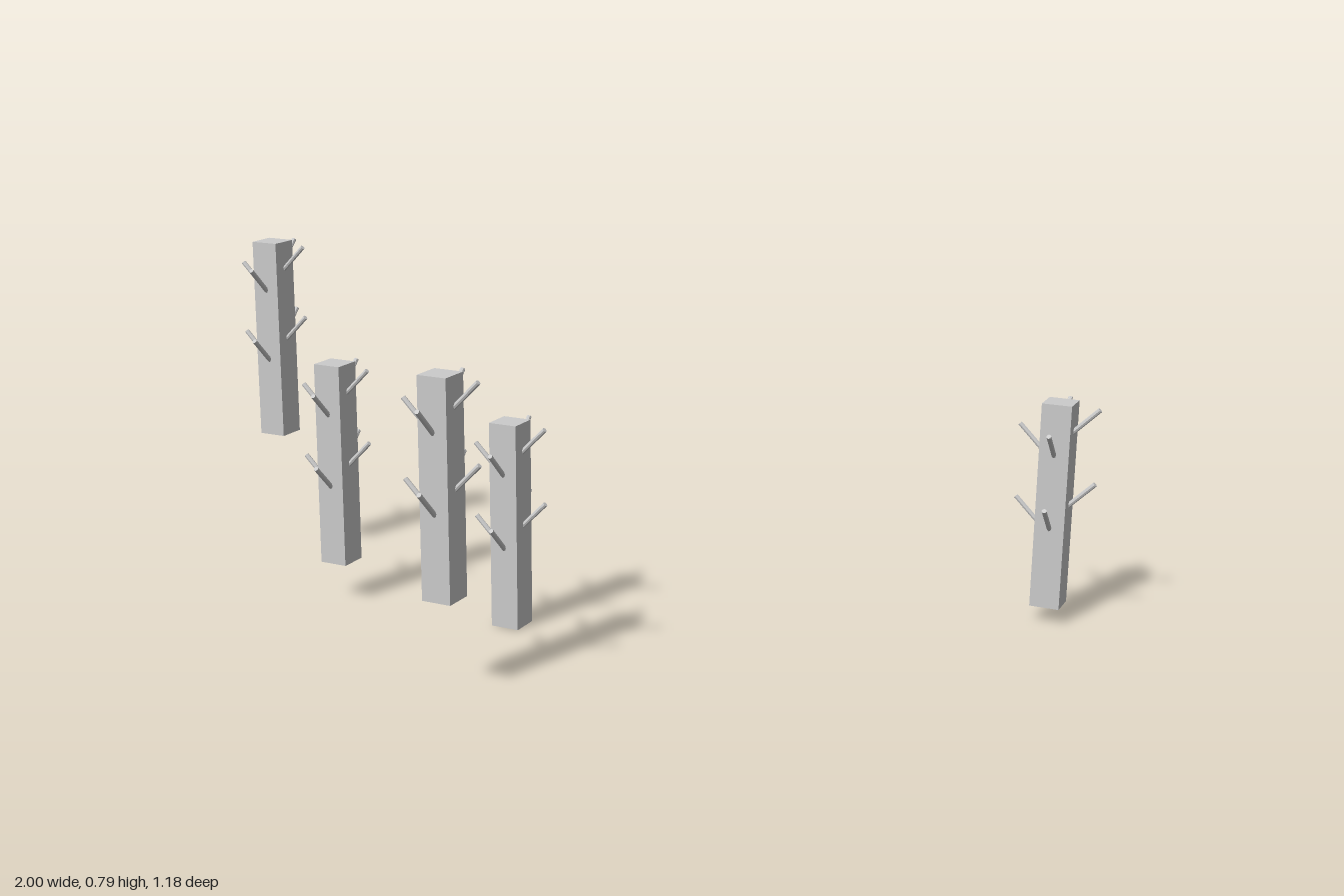
import * as THREE from 'three';

const WIDTH = 0.067, HEIGHT = 0.473;
const REACH = 0.088; // horizontal reach of a peg tip from the post axis

export function createModel() {
  const group = new THREE.Group();
  const material = new THREE.MeshStandardMaterial({ color: 0xcccccc, flatShading: true });
  const postGeometry = new THREE.BoxGeometry(WIDTH, HEIGHT, WIDTH).translate(0, HEIGHT / 2, 0);

  // Peg rising outward at 45 degrees along +x, starting inside the post
  const inner = 0.02;
  const pegGeometry = new THREE.CylinderGeometry(0.0055, 0.0055, (REACH - inner) * Math.SQRT2, 8)
    .rotateZ(-Math.PI / 4)
    .translate((REACH + inner) / 2, (inner - REACH) / 2, 0);

  // Tip heights: +x and -z pegs sit higher than -x and +z pegs
  const pegs = [
    { angle: 0, tip: 0.464 },
    { angle: Math.PI / 2, tip: 0.464 },
    { angle: Math.PI, tip: 0.414 },
    { angle: -Math.PI / 2, tip: 0.414 },
  ];

  function makePost(x, y, z) {
    const post = new THREE.Group();
    post.name = 'peggedPost';
    const trunk = new THREE.Mesh(postGeometry, material);
    trunk.name = 'post';
    post.add(trunk);
    // Two tiers of four pegs
    for (const drop of [0, 0.17]) {
      for (const { angle, tip } of pegs) {
        const peg = new THREE.Mesh(pegGeometry, material);
        peg.name = 'peg';
        peg.position.y = tip - drop;
        peg.rotation.y = angle;
        post.add(peg);
      }
    }
    post.position.set(x, y, z);
    return post;
  }

  // Scattered posts at stepped heights
  const places = [
    [-0.908, 0.318, -0.081],
    [-0.604, 0.09, 0.114],
    [-0.16, 0, 0.09],
    [-0.085, 0.202, 0.497],
    [0.908, 0.036, -0.498],
  ];
  for (const p of places) group.add(makePost(...p));
  return group;
}
